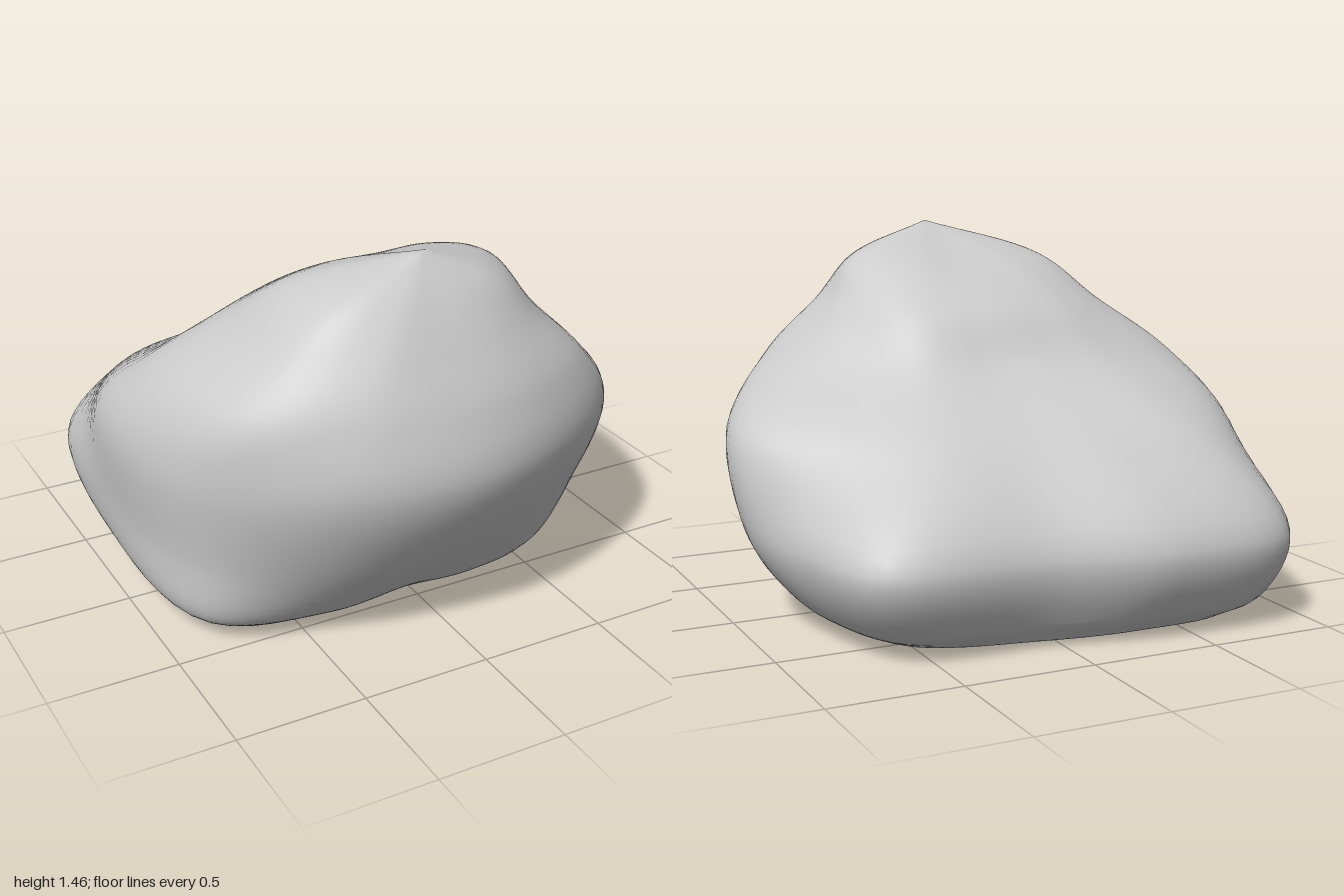
import * as THREE from 'three';
import { mergeVertices } from 'three/addons/utils/BufferGeometryUtils.js';

// Directions (degrees from +x towards +z) and the reach of each level along them
const ANGLES = [0, 35, 60, 90, 120, 150, 195, 225, 250, 280, 315, 340];
const LEVELS = [
  { y: 0.015, r: [0.68, 0.75, 0.6, 0.5, 0.6, 0.82, 0.8, 0.94, 0.77, 0.69, 0.78, 0.74] },
  { y: 0.1, r: [0.83, 0.83, 0.69, 0.61, 0.73, 0.93, 0.92, 1.09, 0.88, 0.76, 0.95, 0.87] },
  { y: 0.35, r: [1.0, 0.94, 0.86, 0.84, 0.9, 0.96, 0.97, 1.19, 0.98, 0.83, 1.08, 0.98] },
  { y: 0.7, r: [1.01, 1.04, 1.01, 1.01, 1.02, 1.0, 0.96, 0.89, 0.68, 0.57, 0.69, 0.82] },
  { y: 0.95, r: [0.7, 0.84, 0.8, 0.78, 0.82, 0.88, 0.82, 0.6, 0.46, 0.41, 0.51, 0.59] },
  { y: 1.15, r: [0.53, 0.58, 0.55, 0.53, 0.59, 0.65, 0.59, 0.49, 0.42, 0.4, 0.47, 0.5] },
  { y: 1.32, r: [0.4, 0.37, 0.31, 0.29, 0.34, 0.42, 0.41, 0.29, 0.22, 0.21, 0.3, 0.38] },
];
const AROUND = 84;
const ROWS = 56;
const CENTRE = -0.05;

// Smooth closed outline of one level; the upper levels lean forward
function outline({ y, r }) {
  const z = CENTRE + Math.max(0, y - 0.7) * 0.73;
  const points = r.map((radius, i) => {
    const a = THREE.MathUtils.degToRad(ANGLES[i]);
    return new THREE.Vector3(CENTRE + radius * Math.cos(a), y, z + radius * Math.sin(a));
  });
  const curve = new THREE.CatmullRomCurve3(points, true);
  return Array.from({ length: AROUND }, (_, i) => curve.getPoint(i / AROUND));
}

// Skin running up over the outlines, closed by a flat base and a peak
function boulderGeometry() {
  const rings = LEVELS.map(outline);
  const peak = new THREE.Vector3(-0.04, 1.455, 0.56);
  const position = [];
  const index = [];
  for (let i = 0; i < AROUND; i++) {
    const rib = new THREE.CatmullRomCurve3([...rings.map((ring) => ring[i]), peak]);
    position.push(CENTRE, 0, CENTRE);
    for (const p of rib.getPoints(ROWS)) position.push(p.x, Math.max(p.y, 0), p.z);
  }
  const stride = ROWS + 2;
  for (let i = 0; i < AROUND; i++) {
    for (let j = 0; j < stride - 1; j++) {
      const a = i * stride + j;
      const b = ((i + 1) % AROUND) * stride + j;
      index.push(a, a + 1, b + 1, a, b + 1, b);
    }
  }
  const geometry = new THREE.BufferGeometry();
  geometry.setAttribute('position', new THREE.Float32BufferAttribute(position, 3));
  geometry.setIndex(index);
  const merged = mergeVertices(geometry);
  merged.computeVertexNormals();
  return merged;
}

export function createModel() {
  const group = new THREE.Group();
  group.name = 'rock';
  const boulder = new THREE.Mesh(boulderGeometry(), new THREE.MeshStandardMaterial({ color: 0xcccccc }));
  boulder.name = 'boulder';
  group.add(boulder);
  return group;
}
